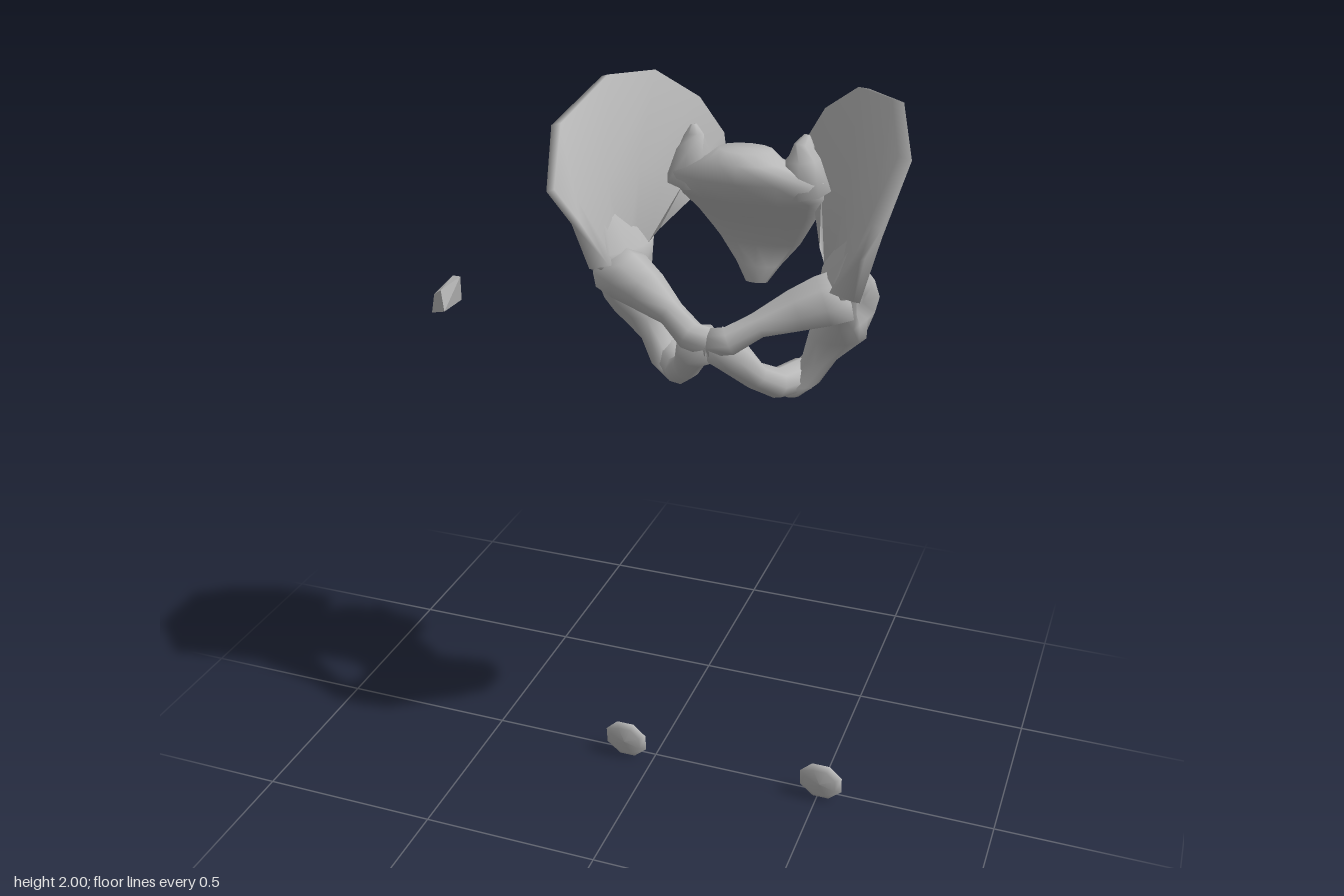
import * as THREE from 'three';
import { ConvexGeometry } from 'three/addons/geometries/ConvexGeometry.js';

const V = (x, y, z) => new THREE.Vector3(x, y, z);

// Closed, capped skin over a row of equal-sized rings, always wound outwards
function loft(rings) {
  const n = rings[0].length, pts = rings.flat(), idx = [];
  for (let r = 0; r < rings.length - 1; r++) for (let i = 0; i < n; i++) {
    const a = r * n + i, b = r * n + (i + 1) % n;
    idx.push(a, b, a + n, b, b + n, a + n);
  }
  [0, rings.length - 1].forEach((r, end) => {
    const c = pts.length;
    pts.push(rings[r].reduce((s, p) => s.add(p), V(0, 0, 0)).divideScalar(n));
    for (let i = 0; i < n; i++) {
      const a = r * n + i, b = r * n + (i + 1) % n;
      end ? idx.push(a, b, c) : idx.push(b, a, c);
    }
  });
  let volume = 0;
  for (let i = 0; i < idx.length; i += 3)
    volume += pts[idx[i]].dot(V(0, 0, 0).crossVectors(pts[idx[i + 1]], pts[idx[i + 2]]));
  if (volume < 0) idx.reverse();
  const g = new THREE.BufferGeometry().setFromPoints(pts);
  g.setIndex(idx);
  g.computeVertexNormals();
  return g;
}

// Level ellipse: height, centre x and z, half width, half depth, skew of x along z
function levelRing([y, x, z, hx, hz, skew = 0], dent = 0, n = 12) {
  return Array.from({ length: n }, (_, i) => {
    const t = i / n * Math.PI * 2, dz = Math.sin(t) * hz;
    const pull = i === 0 || i === 1 ? dent : 0;
    return V(x + Math.cos(t) * hx + dz * skew - pull, y, z + dz);
  });
}

// Round limb along nodes of x, y, z, radius
function limb(nodes, n = 8) {
  const p = nodes.map(([x, y, z]) => V(x, y, z));
  return loft(p.map((c, k) => {
    const t = p[Math.min(k + 1, p.length - 1)].clone().sub(p[Math.max(k - 1, 0)]).normalize();
    const side = V(0, 0, 0).crossVectors(t, V(0, 1, 0)).normalize();
    const up = V(0, 0, 0).crossVectors(side, t);
    return Array.from({ length: n }, (_, i) => {
      const a = i / n * Math.PI * 2, r = nodes[k][3];
      return c.clone().addScaledVector(side, Math.cos(a) * r).addScaledVector(up, Math.sin(a) * r);
    });
  }));
}

// Flared hip blade: columns from front to back, each base, middle, crest
function bladeGeometry() {
  const cols = [
    [V(.31, 1.57, .155), V(.355, 1.69, .19), V(.40, 1.78, .235)],
    [V(.305, 1.555, .12), V(.378, 1.73, .15), V(.43, 1.91, .12)],
    [V(.29, 1.555, .075), V(.335, 1.76, .05), V(.37, 1.995, -.055)],
    [V(.275, 1.565, .025), V(.28, 1.77, -.04), V(.27, 2.0, -.13)],
    [V(.258, 1.59, -.01), V(.235, 1.75, -.09), V(.175, 1.925, -.195)],
    [V(.24, 1.62, -.035), V(.19, 1.73, -.14), V(.12, 1.83, -.228)],
    [V(.225, 1.64, -.055), V(.17, 1.68, -.14), V(.105, 1.755, -.225)],
  ];
  const half = [.042, .018, .017];
  return loft(cols.map((col, k) => {
    const along = cols[Math.min(k + 1, 6)][2].clone().sub(cols[Math.max(k - 1, 0)][2]);
    const out = along.cross(col[2].clone().sub(col[0])).normalize();
    const edge = k === 0 || k === 6 ? .7 : 1;
    const face = s => col.map((p, j) => p.clone().addScaledVector(out, s * half[j] * edge));
    return [...face(1), ...face(-1).reverse()];
  }));
}

// Hip column from inside the blade down to the seat bone, with a shallow joint socket
function columnGeometry() {
  const rows = [
    [1.72, .318, .06, .006, .05, .3], [1.60, .287, .05, .055, .108, .25],
    [1.56, .295, .04, .07, .108, .1], [1.51, .30, .015, .07, .10, 0],
    [1.46, .295, -.005, .06, .10, 0], [1.40, .262, -.025, .074, .075, 0],
    [1.33, .217, -.03, .045, .06, 0], [1.27, .175, -.005, .05, .055, 0],
    [1.235, .157, .005, .025, .03, 0],
  ];
  const dents = [0, 0, .01, .04, .015, 0, 0, 0, 0];
  return loft(rows.map((r, i) => levelRing(r, dents[i])));
}

function mirrored(g) {
  const m = g.clone().scale(-1, 1, 1);
  m.setIndex(Array.from(g.index.array).reverse());
  m.computeVertexNormals();
  return m;
}

export function createModel() {
  const model = new THREE.Group();
  const bone = new THREE.MeshStandardMaterial({ color: 0xb8b8b8 });
  bone.name = 'bone grey';
  const add = (parent, name, geometry) => {
    const mesh = new THREE.Mesh(geometry, bone);
    mesh.name = name;
    parent.add(mesh);
    return mesh;
  };

  const pelvis = new THREE.Group();
  pelvis.name = 'pelvis';
  pelvis.position.x = .215;
  model.add(pelvis);

  // Paired hip parts
  const halves = {
    HipBlade: bladeGeometry(),
    HipColumn: columnGeometry(),
    UpperPubicBranch: limb([[.30, 1.55, .08, .07], [.25, 1.535, .105, .068], [.19, 1.512, .13, .056],
      [.11, 1.48, .175, .034], [.05, 1.443, .208, .038], [0, 1.43, .205, .038]]),
    LowerPubicBranch: limb([[0, 1.425, .19, .05], [.052, 1.395, .185, .046], [.09, 1.32, .115, .035],
      [.13, 1.28, .055, .04], [.18, 1.285, -.015, .045]]),
    // Upward horn on the wing of the sacrum
    SacrumHorn: limb([[.155, 1.74, -.075, .06], [.14, 1.825, -.07, .045], [.142, 1.86, -.08, .026],
      [.146, 1.885, -.085, .008]], 7),
  };
  for (const [name, g] of Object.entries(halves)) {
    add(pelvis, 'left' + name, g);
    add(pelvis, 'right' + name, mirrored(g));
  }

  // Sacrum, curving back and down to the tail bone
  const sacrum = [
    [1.845, 0, -.055, .07, .05], [1.82, 0, -.05, .10, .07], [1.775, 0, -.06, .20, .09],
    [1.715, 0, -.105, .19, .095], [1.66, 0, -.16, .165, .08], [1.56, 0, -.207, .108, .04],
    [1.50, 0, -.195, .06, .028], [1.455, 0, -.18, .03, .014],
  ];
  add(pelvis, 'sacrum', loft(sacrum.map(r => levelRing(r))));

  // Kneecaps: faceted discs, slightly leaning, narrower below
  const profile = [[0, -.016], [.05, -.014], [.066, 0], [.048, .012], [0, .017]];
  const cap = new THREE.LatheGeometry(profile.map(([x, y]) => new THREE.Vector2(x, y)), 8, Math.PI / 8);
  cap.rotateX(Math.PI / 2);
  const p = cap.attributes.position;
  for (let i = 0; i < p.count; i++) {
    p.setZ(i, p.getZ(i) + p.getY(i) * .12);
    if (p.getY(i) < -.04) p.setX(i, p.getX(i) * .9);
  }
  cap.computeVertexNormals();
  add(model, 'rightKneecap', cap).position.set(-.08, .061, .035);
  add(model, 'leftKneecap', cap).position.set(.51, .061, .035);

  // Loose wrist bone with sharp facets
  add(model, 'wristBone', new ConvexGeometry([
    V(-.662, 1.33, -.10), V(-.62, 1.315, -.12), V(-.60, 1.40, -.08), V(-.635, 1.39, -.105),
    V(-.635, 1.33, .03), V(-.592, 1.342, .04), V(-.602, 1.40, .035), V(-.625, 1.385, .03),
  ]));
  return model;
}
